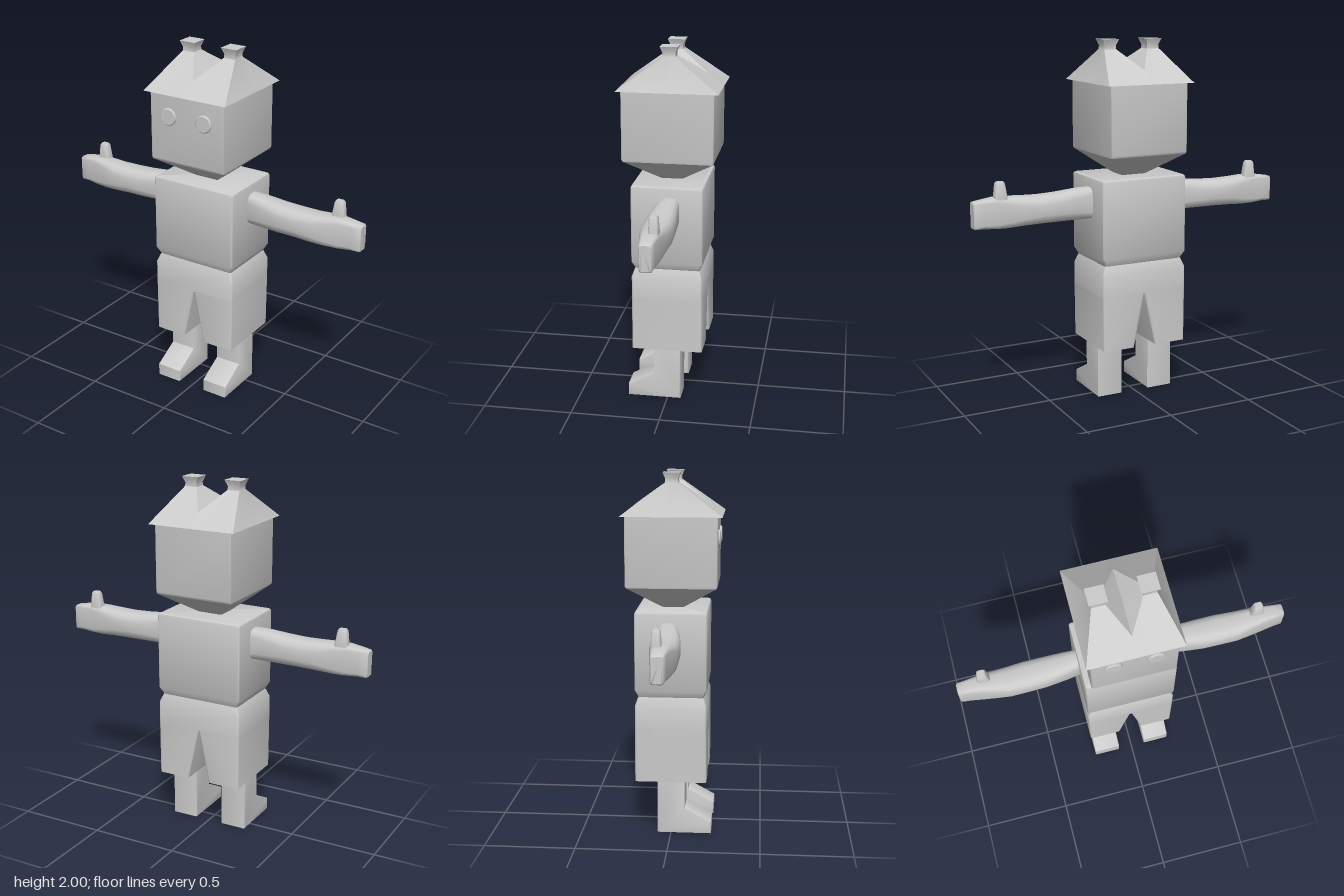
import * as THREE from 'three';
import { toCreasedNormals } from 'three/addons/utils/BufferGeometryUtils.js';

const material = new THREE.MeshStandardMaterial({ color: 0xcccccc, side: THREE.DoubleSide });

// Skin through rows of points; each row runs counterclockwise seen from the last row.
// side = -1 mirrors the skin in x.
function loft(rows, { side = 1, start = true, end = true, crease = 0.6 } = {}) {
  const pos = [];
  const tri = (a, b, c) => {
    for (const p of side < 0 ? [a, c, b] : [a, b, c]) pos.push(p[0] * side, p[1], p[2]);
  };
  const n = rows[0].length;
  for (let i = 0; i < rows.length - 1; i++) {
    for (let j = 0; j < n; j++) {
      const k = (j + 1) % n;
      tri(rows[i][j], rows[i][k], rows[i + 1][k]);
      tri(rows[i][j], rows[i + 1][k], rows[i + 1][j]);
    }
  }
  const last = rows[rows.length - 1];
  for (let j = 1; j < n - 1; j++) {
    if (start) tri(rows[0][0], rows[0][j + 1], rows[0][j]);
    if (end) tri(last[0], last[j], last[j + 1]);
  }
  const g = new THREE.BufferGeometry();
  g.setAttribute('position', new THREE.Float32BufferAttribute(pos, 3));
  return toCreasedNormals(g, crease);
}

// Rounded rectangle between a0..a1 and b0..b1, counterclockwise in (a, b)
function roundRect(a0, a1, b0, b1, r) {
  const out = [];
  const corners = [[a1 - r, b1 - r], [a0 + r, b1 - r], [a0 + r, b0 + r], [a1 - r, b0 + r]];
  corners.forEach(([a, b], q) => {
    for (let i = 0; i < 4; i++) {
      const t = (q + i / 3) * Math.PI / 2;
      out.push([a + r * Math.cos(t), b + r * Math.sin(t)]);
    }
  });
  return out;
}

// Horizontal ring at height y
const level = (y, x0, x1, z0, z1, r = 0.012) =>
  roundRect(x0, x1, -z1, -z0, r).map(([a, b]) => [a, y, -b]);
const centred = (y, hx, hz, r) => level(y, -hx, hx, -hz, hz, r);

export function createModel() {
  const model = new THREE.Group();
  const add = (name, geometry, parent = model) => {
    const mesh = new THREE.Mesh(geometry, material);
    mesh.name = name;
    parent.add(mesh);
    return mesh;
  };

  // Torso, pinched in at the waist
  add('torso', loft([
    centred(0.785, 0.235, 0.18), centred(0.825, 0.255, 0.198), centred(1.245, 0.255, 0.198),
    centred(1.255, 0.252, 0.195), centred(1.26, 0.243, 0.187),
  ]));

  // Shorts above the split
  add('shortsTop', loft([
    centred(0.61, 0.255, 0.197), centred(0.735, 0.255, 0.197), centred(0.785, 0.235, 0.18),
  ]));

  // Head with tapering jaw
  add('head', loft([
    centred(1.25, 0.06, 0.045, 0.005), centred(1.385, 0.228, 0.245, 0.008),
    centred(1.395, 0.23, 0.25, 0.008), centred(1.769, 0.23, 0.25, 0.008),
  ], { crease: 0.5 }));

  for (const side of [1, -1]) {
    const tag = side > 0 ? 'left' : 'right';

    // Trouser leg, hollow at the hem
    add(tag + 'TrouserLeg', loft([
      level(0.43, 0.06, 0.235, -0.17, 0.17), level(0.315, 0.075, 0.24, -0.185, 0.185),
      level(0.305, 0.065, 0.252, -0.198, 0.198), level(0.615, 0, 0.255, -0.197, 0.197),
    ], { side }));

    // Leg and foot, cut from a side profile
    const b = 0.008;
    const profile = new THREE.Shape([
      [-0.067, 0.008], [0.217, 0.008], [0.217, 0.065], [0.07, 0.145], [0.07, 0.46], [-0.067, 0.46],
    ].map(([z, y]) => new THREE.Vector2(z, y)));
    const leg = new THREE.ExtrudeGeometry(profile, {
      depth: 0.155 - 2 * b, bevelSize: b, bevelThickness: b, bevelSegments: 2,
    });
    leg.rotateY(-Math.PI / 2).translate(side * 0.158 + 0.0775 - b, 0, 0);
    add(tag + 'Leg', toCreasedNormals(leg, 0.7));

    // Arm: [x, bottom, top, back, front, corner radius]
    const arm = [
      [0.22, 1.03, 1.205, -0.065, 0.035, 0.035], [0.33, 1.03, 1.2, -0.075, 0.055, 0.045],
      [0.45, 1.03, 1.187, -0.083, 0.07, 0.05], [0.55, 1.03, 1.182, -0.085, 0.072, 0.05],
      [0.65, 1.026, 1.184, -0.075, 0.07, 0.045], [0.73, 1.022, 1.19, -0.065, 0.055, 0.035],
      [0.8, 1.024, 1.192, -0.058, 0.042, 0.025], [0.87, 1.03, 1.183, -0.05, 0.03, 0.018],
      [0.92, 1.03, 1.175, -0.045, 0.023, 0.012], [0.926, 1.035, 1.17, -0.04, 0.018, 0.01],
    ];
    add(tag + 'Arm', loft(arm.map(([x, y0, y1, z0, z1, r]) =>
      roundRect(y0, y1, z0, z1, r).map(([y, z]) => [x, y, z])), { side, crease: 0.8 }));

    // Thumb
    add(tag + 'Thumb', loft([
      level(1.15, 0.733, 0.812, -0.055, 0), level(1.19, 0.738, 0.81, -0.053, -0.002),
      level(1.265, 0.75, 0.802, -0.05, -0.005), level(1.276, 0.756, 0.796, -0.044, -0.011, 0.01),
    ], { side }));

    // Eye
    const eye = new THREE.LatheGeometry([[0, 0], [0.048, 0], [0.048, 0.012], [0.043, 0.017], [0, 0.017]]
      .map(([r, y]) => new THREE.Vector2(r, y)), 24);
    eye.rotateX(Math.PI / 2).translate(side * 0.111, 1.645, 0.244);
    add(tag + 'Eye', toCreasedNormals(eye, 0.6));

    // Half of the hat: eaves and centre valley rise to a peak with a flared square tip
    const eaves = [
      [0.255, 1.77, 0], [0.255, 1.77, -0.275], [0, 1.77, -0.275], [0, 1.84, -0.185],
      [0, 1.85, 0], [0, 1.84, 0.185], [0, 1.77, 0.275], [0.255, 1.77, 0.275],
    ];
    const square = (y, h) => [[1, 0], [1, -1], [0, -1], [-1, -1], [-1, 0], [-1, 1], [0, 1], [1, 1]]
      .map(([x, z]) => [0.13 + x * h, y, z * h]);
    add(tag + 'HatHalf', loft([eaves, square(1.945, 0.036), square(1.965, 0.034), square(2, 0.048)],
      { side, start: false, crease: 0.5 }));
  }
  return model;
}
